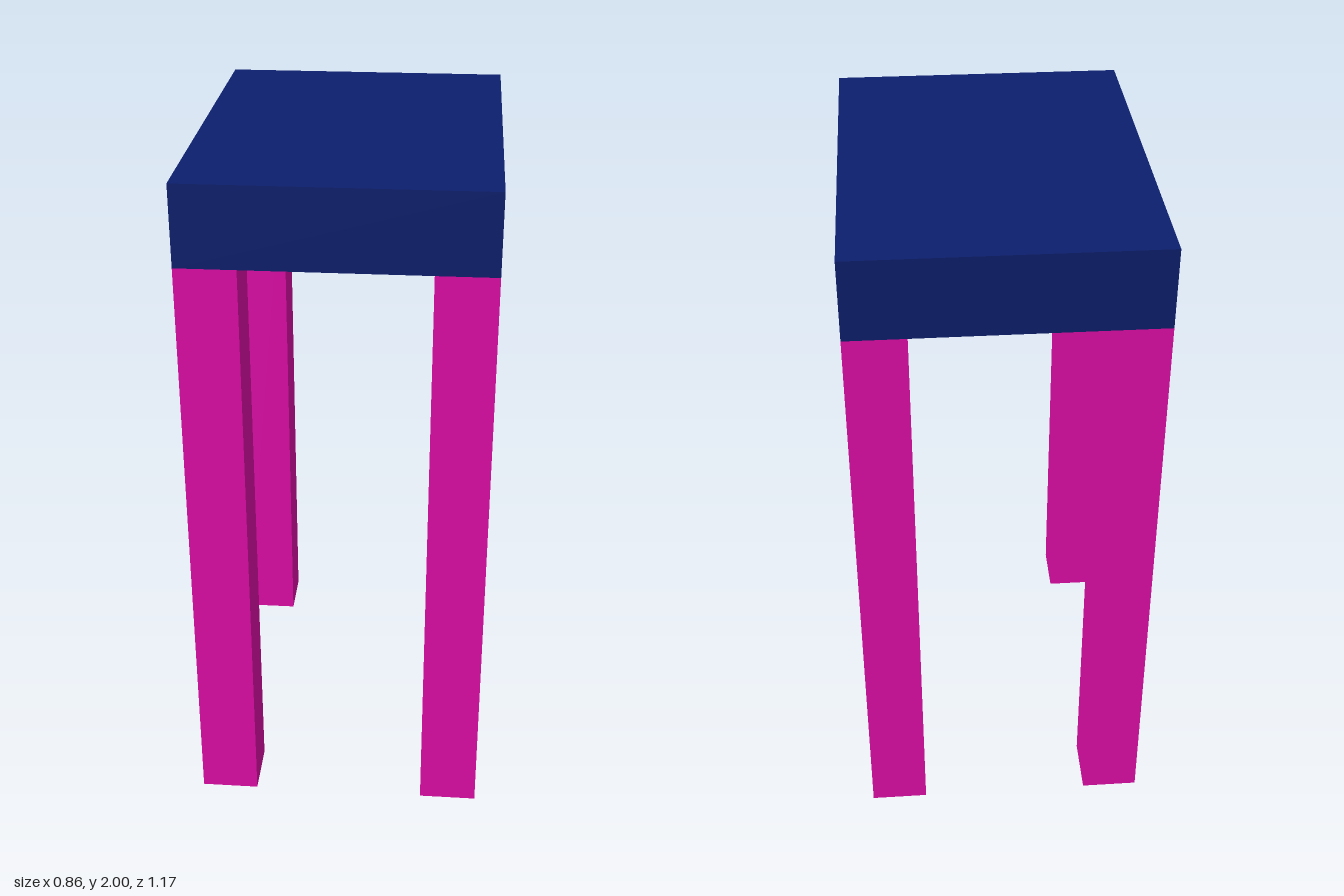
import * as THREE from 'three';

const WIDTH = 0.864, DEPTH = 1.172, HEIGHT = 2;
const SEAT_BOTTOM = 1.768, LEG = 0.172;

function addBox(group, name, size, position, material) {
  const mesh = new THREE.Mesh(new THREE.BoxGeometry(...size), material);
  mesh.name = name;
  mesh.position.set(...position);
  group.add(mesh);
}

export function createModel() {
  const group = new THREE.Group();
  group.name = 'stool';
  const navy = new THREE.MeshStandardMaterial({ color: 0x0d1f6e });
  const pink = new THREE.MeshStandardMaterial({ color: 0xe00da9 });

  // Thick seat slab
  const thickness = HEIGHT - SEAT_BOTTOM;
  addBox(group, 'seat', [WIDTH, thickness, DEPTH], [0, SEAT_BOTTOM + thickness / 2, 0], navy);

  // Four square legs, flush with the seat corners
  for (const [side, sx] of [['Left', 1], ['Right', -1]]) {
    for (const [end, sz] of [['front', 1], ['back', -1]]) {
      addBox(group, `${end}${side}Leg`, [LEG, SEAT_BOTTOM, LEG],
        [sx * (WIDTH - LEG) / 2, SEAT_BOTTOM / 2, sz * (DEPTH - LEG) / 2], pink);
    }
  }
  return group;
}
